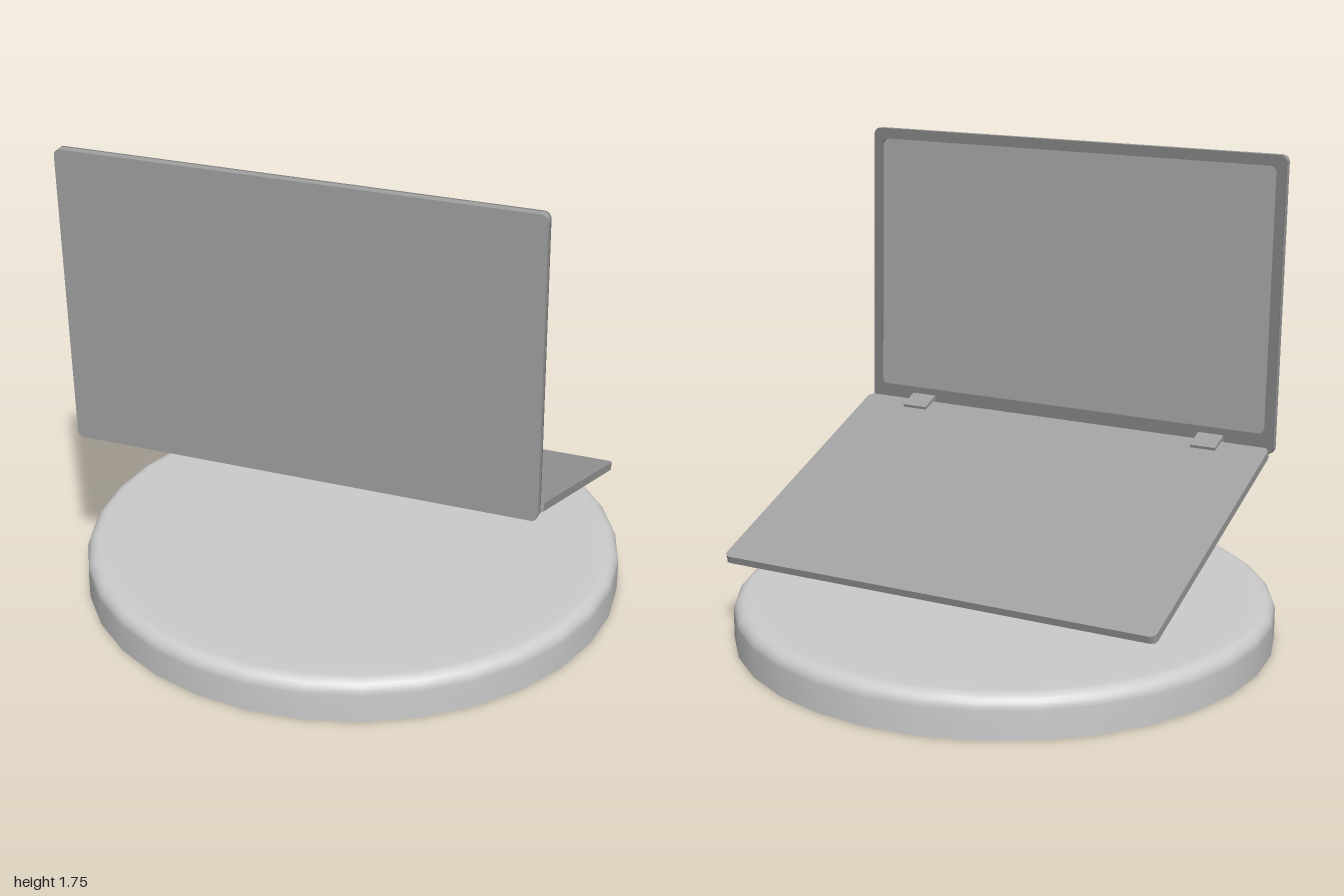
import * as THREE from 'three';

const shell = new THREE.MeshStandardMaterial({ name: 'shell grey', color: 0xa0a0a0 });
const bezel = new THREE.MeshStandardMaterial({ name: 'bezel grey', color: 0x7e7e7e });
const stone = new THREE.MeshStandardMaterial({ name: 'stand grey', color: 0xcccccc });

const W = 1.706, L = 1.1; // laptop panel size

function add(parent, name, geometry, material, x = 0, y = 0, z = 0) {
  const mesh = new THREE.Mesh(geometry, material);
  mesh.name = name;
  mesh.position.set(x, y, z);
  parent.add(mesh);
  return mesh;
}

// Rounded rectangle between two corners
function roundedRect(x0, y0, x1, y1, r, Type = THREE.Shape) {
  const s = new Type();
  s.absarc(x1 - r, y0 + r, r, -Math.PI / 2, 0);
  s.absarc(x1 - r, y1 - r, r, 0, Math.PI / 2);
  s.absarc(x0 + r, y1 - r, r, Math.PI / 2, Math.PI);
  s.absarc(x0 + r, y0 + r, r, Math.PI, Math.PI * 1.5);
  s.closePath();
  return s;
}

const extrude = (shape, depth) =>
  new THREE.ExtrudeGeometry(shape, { depth, bevelEnabled: false, curveSegments: 4 });

function buildStand() {
  const g = new THREE.Group();
  g.name = 'roundStand';
  const h = 0.155, r = 0.05;
  const profile = [new THREE.Vector2(1, 0), new THREE.Vector2(1, 0.06)];
  for (let i = 0; i <= 6; i++) {
    const a = (i / 6) * Math.PI / 2;
    profile.push(new THREE.Vector2(1 - r + r * Math.cos(a), h - r + r * Math.sin(a)));
  }
  profile.push(new THREE.Vector2(0.92, h), new THREE.Vector2(0, h));
  add(g, 'standBody', new THREE.LatheGeometry(profile, 32), stone);
  add(g, 'standUnderside', new THREE.CircleGeometry(1, 32).rotateX(Math.PI / 2), stone);
  return g;
}

function buildBase() {
  const g = new THREE.Group();
  g.name = 'base';
  const t = 0.03, drop = 0.042;
  // Keyboard deck slab, top surface at local y = 0
  const slab = extrude(roundedRect(-W / 2, -L / 2, W / 2, L / 2, 0.025), t);
  add(g, 'deck', slab.rotateX(Math.PI / 2), shell);
  // Tapered underside
  let belly = new THREE.BoxGeometry(W - 0.004, drop, L - 0.004);
  const p = belly.attributes.position;
  for (let i = 0; i < p.count; i++) {
    if (p.getY(i) < 0) p.setXYZ(i, Math.sign(p.getX(i)) * 0.755, p.getY(i), Math.sign(p.getZ(i)) * 0.5);
  }
  belly = belly.toNonIndexed();
  belly.computeVertexNormals();
  add(g, 'taperedUnderside', belly, shell, 0, -t - drop / 2, 0);
  // Hinge tabs
  for (const side of [-1, 1]) {
    add(g, side > 0 ? 'leftHinge' : 'rightHinge',
      new THREE.BoxGeometry(0.1, 0.04, 0.085), shell, side * 0.613, -0.008, 0.533);
  }
  g.position.set(0, 0.506, -0.0575);
  g.rotation.x = -0.342;
  return g;
}

function buildLid() {
  const g = new THREE.Group();
  g.name = 'lid';
  const t = 0.034, recess = 0.008;
  const outline = () => roundedRect(-W / 2, 0, W / 2, L, 0.025);
  add(g, 'lidBack', extrude(outline(), t - recess), shell, 0, 0, -t / 2 + recess);
  // Bezel frame around the recessed screen
  const frame = outline();
  frame.holes.push(roundedRect(-W / 2 + 0.036, 0.075, W / 2 - 0.036, L - 0.04, 0.025, THREE.Path));
  add(g, 'screenBezel', extrude(frame, recess), bezel, 0, 0, -t / 2);
  g.position.set(0, 0.655, 0.508);
  g.rotation.x = 0.034;
  return g;
}

export function createModel() {
  const model = new THREE.Group();
  model.name = 'laptopOverStand';
  const laptop = new THREE.Group();
  laptop.name = 'laptop';
  laptop.add(buildBase(), buildLid());
  model.add(buildStand(), laptop);
  return model;
}
